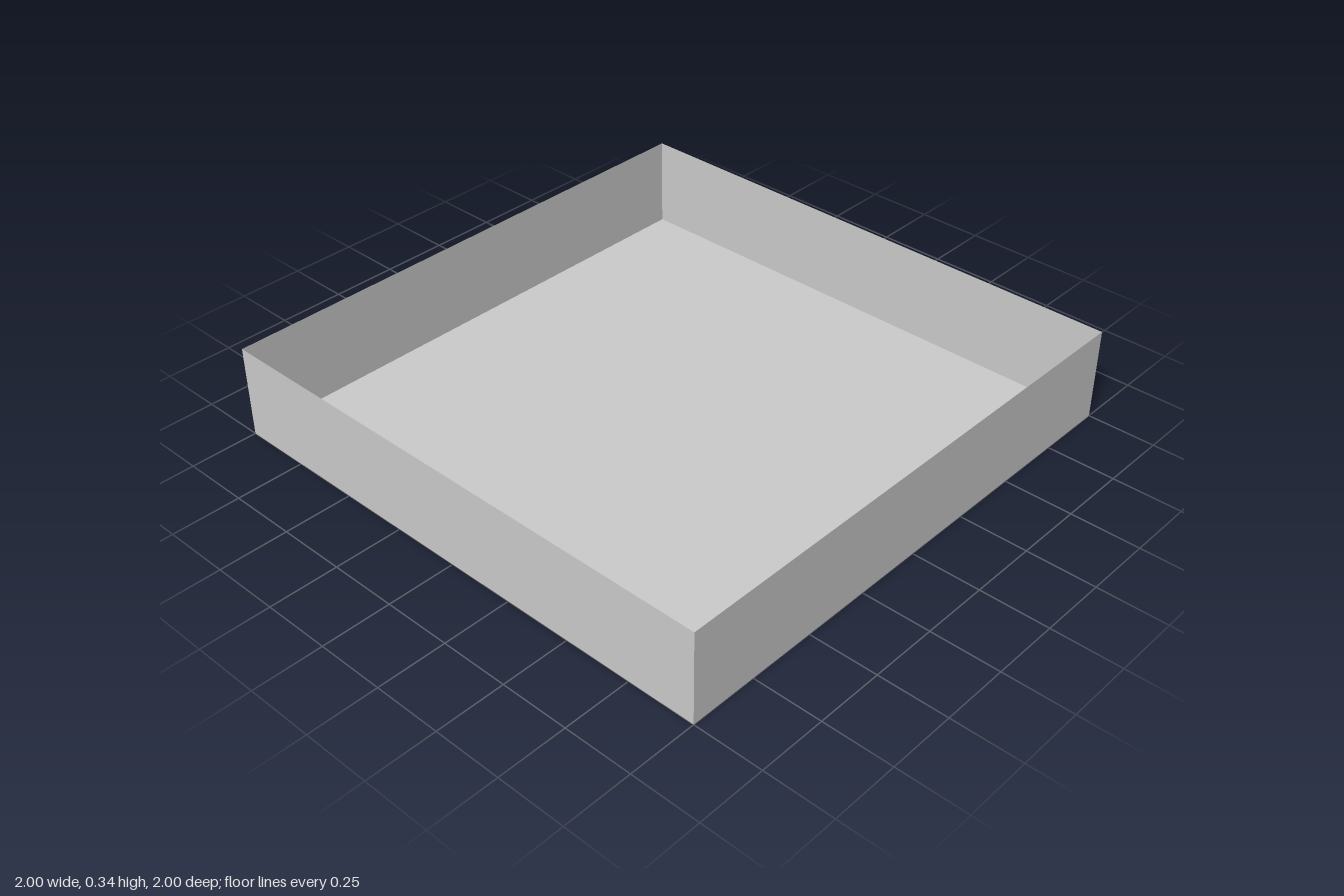
import * as THREE from 'three';

const SIZE = 2;
const HEIGHT = 0.34;

export function createModel() {
  const tray = new THREE.Group();
  tray.name = 'openTray';
  const material = new THREE.MeshStandardMaterial({ color: 0xcccccc, side: THREE.DoubleSide });

  // Thin floor panel
  const floor = new THREE.Mesh(new THREE.PlaneGeometry(SIZE, SIZE), material);
  floor.name = 'floor';
  floor.rotation.x = -Math.PI / 2;
  tray.add(floor);

  // Four thin walls, turned around the centre
  const wallGeometry = new THREE.PlaneGeometry(SIZE, HEIGHT).translate(0, HEIGHT / 2, SIZE / 2);
  ['frontWall', 'leftWall', 'backWall', 'rightWall'].forEach((name, i) => {
    const wall = new THREE.Mesh(wallGeometry, material);
    wall.name = name;
    wall.rotation.y = (i * Math.PI) / 2;
    tray.add(wall);
  });

  return tray;
}
